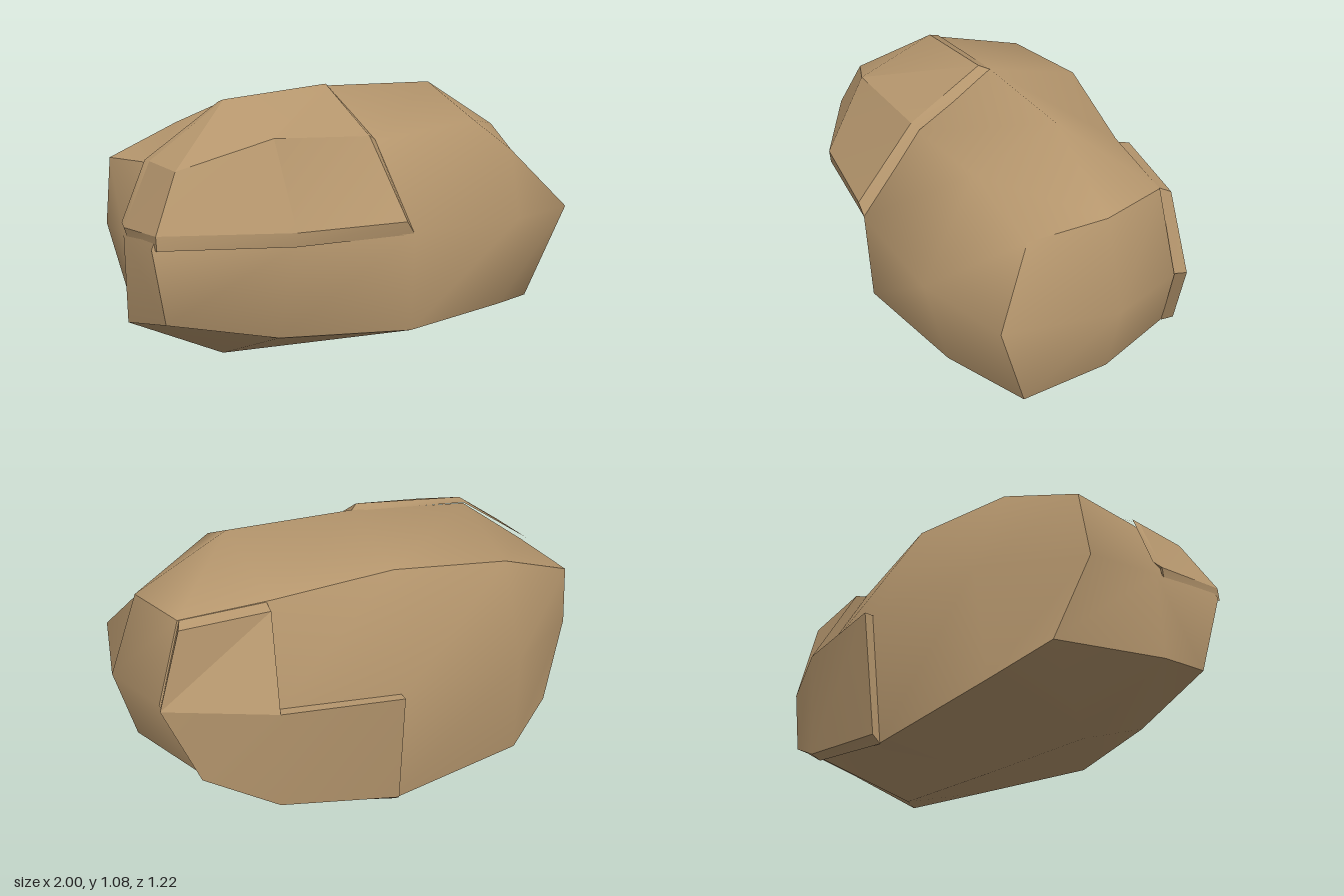
import * as THREE from 'three';
import { toCreasedNormals } from 'three/addons/utils/BufferGeometryUtils.js';

// Collects triangles and quads, then shades them with edges sharp above a crease angle.
function buildMesh(name, material, crease, fill) {
  const pos = [];
  const tri = (...pts) => pts.forEach((p) => pos.push(...p));
  const quad = (a, b, c, d) => { tri(a, b, c); tri(a, c, d); };
  fill(tri, quad);
  const geo = new THREE.BufferGeometry();
  geo.setAttribute('position', new THREE.Float32BufferAttribute(pos, 3));
  const mesh = new THREE.Mesh(toCreasedNormals(geo, crease), material);
  mesh.name = name;
  return mesh;
}

// Rock body: rings along x, each running front, over the top, back and below.
function boulder(material) {
  const rings = [
    [[-1, .53, .32], [-.86, .77, .25], [-.85, .80, .02], [-.87, .79, -.31],
      [-.9, .53, -.29], [-.78, .21, -.37], [-.96, .195, .02], [-.93, .235, .28]],
    [[-.54, .53, .55], [-.53, .87, .36], [-.55, 1.015, .02], [-.54, .91, -.37],
      [-.54, .53, -.53], [-.57, .09, -.49], [-.55, .005, .02], [-.52, .15, .4]],
    [[-.03, .53, .6], [-.03, .86, .345], [-.03, 1.065, .02], [-.04, .965, -.375],
      [-.01, .53, -.575], [0, .003, -.52], [-.02, .002, .02], [-.03, .145, .58]],
    [[.53, .53, .585], [.48, .92, .35], [.5, 1.065, .02], [.43, .89, -.295],
      [.48, .53, -.49], [.48, .085, -.46], [.5, .005, .02], [.52, .155, .49]],
    [[.92, .53, .465], [.765, .77, .28], [.88, .86, .02], [.79, .86, -.26],
      [.89, .53, -.285], [.75, .21, -.35], [.92, .235, .02], [.83, .115, .32]],
  ];
  const last = rings[rings.length - 1];
  const group = new THREE.Group();
  group.name = 'boulder';

  // Sides, each a smooth band of the rings with sharp borders
  const bands = { frontAndTop: [7, 0, 1, 2], backFace: [3, 4], underside: [5, 6] };
  for (const [name, columns] of Object.entries(bands)) {
    group.add(buildMesh(name, material, 1.15, (tri, quad) => {
      for (const j of columns) {
        const k = (j + 1) % 8;
        for (let i = 0; i < rings.length - 1; i++) {
          quad(rings[i][j], rings[i + 1][j], rings[i + 1][k], rings[i][k]);
        }
      }
    }));
  }

  // End faces, fanned from a centre point
  group.add(buildMesh('endFaces', material, 1.15, (tri) => {
    for (let j = 0; j < 8; j++) {
      const k = (j + 1) % 8;
      tri([-.96, .53, 0], rings[0][j], rings[0][k]);
      tri([1, .53, .02], last[k], last[j]);
    }
  }));
  return group;
}

// Raised rock layer: an outer grid whose rim slopes into the body.
function layer(name, material, grid, depth, flare) {
  const n = grid.length - 1, m = grid[0].length - 1;
  const inner = grid.map((row, i) => row.map(([x, y, z], j) => {
    const [fx, fy, fz] = flare(i, j, n, m);
    return [x + fx, y + fy + (0.53 - y) * depth, (z + fz) * (1 - depth)];
  }));
  const group = new THREE.Group();
  group.name = name;
  group.add(buildMesh(name + 'Face', material, 0.35, (tri, quad) => {
    for (let i = 0; i < n; i++) {
      for (let j = 0; j < m; j++) {
        quad(grid[i][j], grid[i + 1][j], grid[i + 1][j + 1], grid[i][j + 1]);
      }
    }
  }));
  group.add(buildMesh(name + 'Rim', material, 0.6, (tri, quad) => {
    for (let i = 0; i < n; i++) {
      quad(inner[i][0], inner[i + 1][0], grid[i + 1][0], grid[i][0]);
      quad(grid[i][m], grid[i + 1][m], inner[i + 1][m], inner[i][m]);
    }
    for (let j = 0; j < m; j++) {
      quad(inner[0][j], grid[0][j], grid[0][j + 1], inner[0][j + 1]);
      quad(grid[n][j], inner[n][j], inner[n][j + 1], grid[n][j + 1]);
    }
  }));
  return group;
}

export function createModel() {
  const stone = new THREE.MeshStandardMaterial({ color: 0xb5966d });
  stone.name = 'tan stone';
  const group = new THREE.Group();
  group.name = 'rock';
  group.add(boulder(stone));

  // Upper front layer, wrapping onto the end face, with bevelled edges
  const endPoint = [-.97, .565, .025];
  group.add(layer('frontLayer', stone, [
    [endPoint, endPoint, endPoint],
    [[-.99, .58, .335], [-.875, .795, .27], [-.865, .81, .04]],
    [[-.54, .58, .56], [-.53, .905, .39], [-.55, 1.03, .055]],
    [[-.07, .58, .605], [-.07, .885, .36], [-.07, 1.075, .055]],
  ], 0.05, (i, j, n, m) => [
    i === n ? .04 : i === 0 ? .01 : 0,
    j === 0 ? -.05 : j === m ? .015 : 0,
    j === 0 ? .025 : j === m ? -.04 : 0,
  ]));

  // L-shaped back layer: long lower part and short upper part
  group.add(layer('backLowerLayer', stone, [
    [[.01, .53, -.61], [0, .03, -.555]],
    [[.49, .53, -.53], [.49, .095, -.50]],
    [[.9, .53, -.335], [.77, .22, -.39]],
  ], 0.15, (i, j, n, m) => [
    i === n ? -.02 : 0,
    j === m ? -.105 + .022 * i : 0,
    j === m ? -.055 + .018 * i : 0,
  ]));
  group.add(layer('backUpperLayer', stone, [
    [[.45, .87, -.345], [.49, .53, -.53]],
    [[.80, .84, -.305], [.9, .53, -.335]],
  ], 0.17, (i, j, n) => [i === n ? -.02 : 0, j === 0 ? .075 : 0, 0]));
  return group;
}
